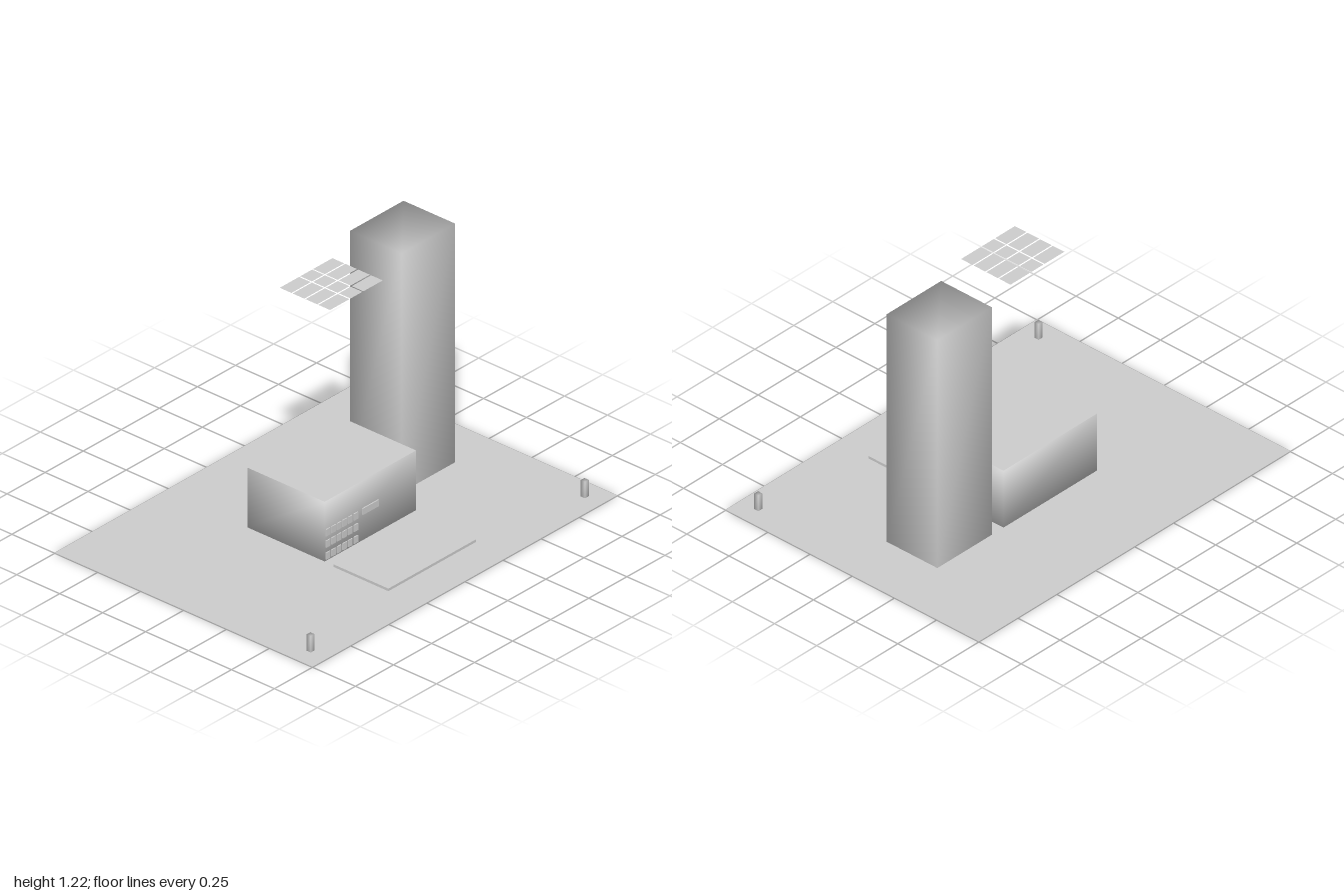
import * as THREE from 'three';
import { mergeVertices } from 'three/addons/utils/BufferGeometryUtils.js';

const concrete = new THREE.MeshStandardMaterial({ color: 0xcccccc });
concrete.name = 'pale grey';
const sheet = concrete.clone();
sheet.name = 'pale grey sheet';
sheet.side = THREE.DoubleSide;

// Share the corners of a box so its normals blend around the edges
function softBox(w, h, d) {
  const g = new THREE.BoxGeometry(w, h, d);
  g.deleteAttribute('normal');
  g.deleteAttribute('uv');
  const soft = mergeVertices(g);
  soft.computeVertexNormals();
  return soft;
}

// Box whose walls blend into each other while roof and floor stay flat
function softWalledBox(w, h, d) {
  const g = new THREE.BoxGeometry(w, h, d);
  const soft = softBox(w, h, d);
  const n = g.attributes.normal;
  const p = g.attributes.position;
  const sp = soft.attributes.position;
  const sn = soft.attributes.normal;
  for (let i = 0; i < p.count; i++) {
    if (Math.abs(n.getY(i)) > 0.5) continue;
    for (let j = 0; j < sp.count; j++) {
      const same = p.getX(i) === sp.getX(j) && p.getY(i) === sp.getY(j) && p.getZ(i) === sp.getZ(j);
      if (same) n.setXYZ(i, sn.getX(j), sn.getY(j), sn.getZ(j));
    }
  }
  return g;
}

export function createModel() {
  const model = new THREE.Group();
  model.name = 'buildingSite';

  function add(name, geometry, x, y, z, parent = model, material = concrete) {
    const mesh = new THREE.Mesh(geometry, material);
    mesh.name = name;
    mesh.position.set(x, y, z);
    parent.add(mesh);
    return mesh;
  }

  // Ground, paved step and the two masses
  add('ground', new THREE.BoxGeometry(2, 0.003, 1.5), 0, 0.0015, 0);
  add('forecourt', new THREE.BoxGeometry(0.575, 0.013, 0.32), 0, 0.0095, 0.4);
  add('lowBuilding', softWalledBox(0.6, 0.3, 0.45), 0, 0.17, -0.025);
  add('tower', softBox(0.35, 1.2, 0.3), 0.55, 0.62, -0.1);

  // Posts at the front corners
  for (const side of [-1, 1]) {
    add(side > 0 ? 'leftPost' : 'rightPost', softBox(0.025, 0.083, 0.025), side * 0.9, 0.0435, 0.65);
  }

  // Window rows and sign plate on the front wall
  const windows = new THREE.Group();
  windows.name = 'windows';
  model.add(windows);
  const pane = new THREE.BoxGeometry(0.027, 0.034, 0.005);
  for (const y of [0.162, 0.105, 0.045]) {
    for (let i = 0; i < 6; i++) {
      add('window', pane, -0.281 + i * 0.0365, y, 0.2025, windows);
    }
  }
  add('signPlate', new THREE.BoxGeometry(0.105, 0.032, 0.006), -0.002, 0.166, 0.203);

  // Thin canopy of tiles hovering above the low building
  const canopy = new THREE.Group();
  canopy.name = 'canopy';
  model.add(canopy);
  const columns = [[-0.112, 0.127], [-0.002, 0.078], [0.107, 0.127]];
  for (const [x, width] of columns) {
    const tile = new THREE.PlaneGeometry(width, 0.068).rotateX(-Math.PI / 2);
    for (let row = 0; row < 4; row++) {
      add('canopyTile', tile, x, 1.2, -0.138 + row * 0.075, canopy, sheet);
    }
  }
  return model;
}
